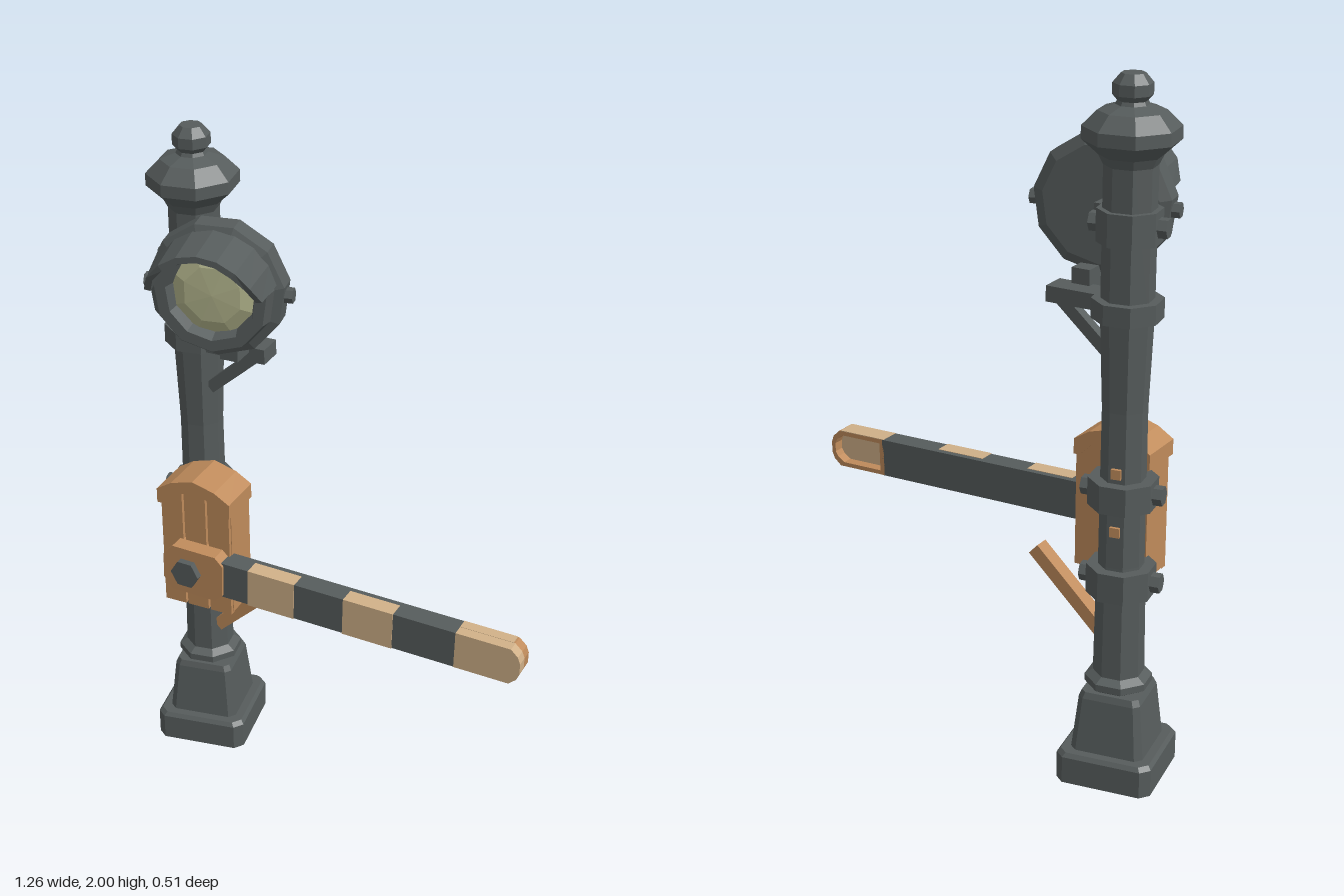
import * as THREE from 'three';

const mat = (name, color, side = THREE.FrontSide) => {
  const m = new THREE.MeshStandardMaterial({ color, side, flatShading: true });
  m.name = name;
  return m;
};

export function createModel() {
  const iron = mat('dark iron', 0x565c5c, THREE.DoubleSide);
  const wood = mat('orange wood', 0xbf8b5b);
  const cream = mat('cream paint', 0xd0b088);
  const glass = mat('pale lens', 0xb0b28a);

  const model = new THREE.Group();
  const add = (parent, name, geo, material, x = 0, y = 0, z = 0) => {
    const mesh = new THREE.Mesh(geo, material);
    mesh.name = name;
    mesh.position.set(x, y, z);
    parent.add(mesh);
    return mesh;
  };
  const group = (name, x, y, z) => {
    const g = new THREE.Group();
    g.name = name;
    g.position.set(x, y, z);
    model.add(g);
    return g;
  };
  const lathe = (pts, sides = 8, start = Math.PI / 8, len = Math.PI * 2) =>
    new THREE.LatheGeometry(pts.map(p => new THREE.Vector2(...p)), sides, start, len);
  const box = (w, h, d) => new THREE.BoxGeometry(w, h, d);
  // extruded outline from z0 to z1, with optional hole
  const plate = (pts, z0, z1, hole) => {
    const v = a => a.map(p => new THREE.Vector2(...p));
    const s = new THREE.Shape(v(pts));
    if (hole) s.holes.push(new THREE.Path(v(hole)));
    return new THREE.ExtrudeGeometry(s, { depth: z1 - z0, bevelEnabled: false }).translate(0, 0, z0);
  };
  // beam between two points in a plane of constant z
  const beam = (name, material, a, b, z, w, d) => {
    const dx = b[0] - a[0], dy = b[1] - a[1];
    add(model, name, box(Math.hypot(dx, dy), w, d), material, (a[0] + b[0]) / 2, (a[1] + b[1]) / 2, z)
      .rotation.z = Math.atan2(dy, dx);
  };

  // --- post ---
  const post = group('post', -0.48, 0, -0.1);
  post.rotation.y = 0.16;

  // plinth: octagonal lathe pushed out to a chamfered square
  const plinth = lathe([[0, 0], [0.139, 0], [0.139, 0.08], [0.13, 0.092], [0.106, 0.092],
    [0.09, 0.25], [0.083, 0.268], [0, 0.268]]);
  const p = plinth.attributes.position;
  for (let i = 0; i < p.count; i++) {
    const x = p.getX(i), z = p.getZ(i), r = Math.hypot(x, z);
    const wide = Math.abs(x) > Math.abs(z);
    p.setX(i, Math.sign(x) * r * (wide ? 1 : 0.82));
    p.setZ(i, Math.sign(z) * r * (wide ? 0.82 : 1));
  }
  add(post, 'plinth', plinth, iron);

  add(post, 'shaft', lathe([[0.07, 0.265], [0.095, 0.28], [0.095, 0.3], [0.072, 0.315], [0.069, 0.56],
    [0.064, 0.65], [0.062, 1.1], [0.072, 1.36], [0.072, 1.8]]), iron);
  add(post, 'cap', lathe([[0.07, 1.76], [0.085, 1.79], [0.13, 1.83], [0.13, 1.865], [0.09, 1.905],
    [0.045, 1.92], [0.04, 1.93], [0.053, 1.945], [0.053, 1.975], [0.032, 2], [0, 2]]), iron);

  // collars with a bolt on each side
  for (const [y, h] of [[0.6, 0.085], [0.86, 0.08], [1.38, 0.055], [1.605, 0.09]]) {
    const r = y > 1.5 ? 0.088 : 0.097;
    add(post, 'collar', lathe([[0.05, -h / 2], [r, -h / 2], [r, h / 2], [0.05, h / 2]]), iron, 0, y, 0);
    if (y === 1.38) continue;
    for (const s of [-1, 1]) {
      add(post, 'collarBolt', new THREE.CylinderGeometry(0.028, 0.028, 0.03, 6).rotateZ(Math.PI / 2),
        iron, s * (r + 0.004), y, 0);
    }
  }
  for (const y of [0.76, 0.93]) add(post, 'rearPeg', box(0.028, 0.028, 0.02), wood, 0, y, -0.058);

  // --- lamp bracket ---
  add(model, 'bracketArm', box(0.23, 0.045, 0.075), iron, -0.35, 1.378, -0.067);
  add(model, 'lampFoot', box(0.055, 0.06, 0.09), iron, -0.31, 1.415, -0.005);
  beam('bracketStrut', iron, [-0.43, 1.225], [-0.27, 1.365], -0.075, 0.035, 0.03);
  add(model, 'lampMount', box(0.1, 0.07, 0.09), iron, -0.41, 1.605, -0.03);

  // --- lamp ---
  const lamp = group('lamp', -0.338, 1.612, 0);
  lamp.rotation.y = 0.18;
  add(lamp, 'lampBody', lathe([[0, 0], [0.165, 0], [0.195, 0.015], [0.195, 0.075], [0.17, 0.085],
    [0.16, 0.128], [0.128, 0.128], [0.116, 0.09]], 11, 0).rotateX(Math.PI / 2), iron);
  add(lamp, 'lens', lathe([[0.126, 0.092], [0.085, 0.11], [0, 0.115]], 8).rotateX(Math.PI / 2), glass);

  // visor: partial shell, cut shorter towards its lower ends
  const visor = lathe([[0.178, 0.07], [0.168, 0.23], [0.15, 0.23], [0.157, 0.07]], 8, Math.PI - 1.36, 2.72)
    .rotateX(Math.PI / 2);
  const v = visor.attributes.position;
  for (let i = 0; i < v.count; i++) {
    if (v.getZ(i) > 0.2) v.setZ(i, 0.165 + 0.07 * Math.min(1, v.getY(i) / 0.1));
  }
  add(lamp, 'visor', visor, iron);
  for (const s of [-1, 1]) {
    add(lamp, 'lampBolt', new THREE.CylinderGeometry(0.022, 0.022, 0.03, 6).rotateZ(Math.PI / 2),
      iron, s * 0.196, -0.005, 0.045);
  }

  // --- mechanism box ---
  const cabinet = group('cabinet', -0.41, 0, 0);
  add(cabinet, 'cabinetBody', plate([[-0.112, 0.57], [0.112, 0.57], [0.112, 0.93], [0.06, 0.965],
    [-0.06, 0.965], [-0.112, 0.93]], -0.035, 0.078), wood);
  for (const i of [-1, 0, 1]) {
    const a = i * 0.076 - 0.034, b = i * 0.076 + 0.034;
    const ya = i < 0 ? 0.915 : 0.955, yb = i > 0 ? 0.915 : 0.955;
    add(cabinet, 'plank', plate([[a, 0.565], [b, 0.565], [b, yb], [a, ya]], 0.07, 0.09), wood);
  }
  add(cabinet, 'cabinetRoof', plate([[-0.118, 0.905], [-0.1, 0.905], [-0.06, 0.945], [0, 0.96],
    [0.06, 0.945], [0.1, 0.905], [0.118, 0.905], [0.118, 0.95], [0.07, 0.98], [0, 1],
    [-0.07, 0.98], [-0.118, 0.95]], -0.04, 0.1), wood);
  beam('woodStrut', wood, [-0.43, 0.4], [-0.2, 0.615], -0.078, 0.04, 0.045);

  // --- signal arm ---
  const arm = group('signalArm', -0.415, 0.715, 0.098);
  arm.rotation.set(0, -0.015, -0.028);
  add(arm, 'hub', plate([[-0.08, -0.04], [-0.05, -0.075], [0.09, -0.075], [0.115, -0.05],
    [0.115, 0.05], [0.09, 0.075], [-0.05, 0.075], [-0.08, 0.04]], -0.03, 0.04), wood);
  add(arm, 'hubBolt', new THREE.CylinderGeometry(0.045, 0.045, 0.03, 6)
    .rotateX(Math.PI / 2).rotateZ(Math.PI / 6), iron, 0, 0, 0.045);
  add(arm, 'armCore', box(0.765, 0.115, 0.065), iron, 0.4675, 0, 0);
  for (const [a, b] of [[0.195, 0.345], [0.5, 0.655]]) {
    add(arm, 'creamStripe', box(b - a, 0.118, 0.05), cream, (a + b) / 2, 0, 0.0095);
  }

  // rounded tip: cream face over a hollow wooden rim
  const tip = (x0, x1, h) => [[x0, -h], [x1 - 0.03, -h], [x1 - 0.008, -h * 0.65], [x1, -h * 0.3],
    [x1, h * 0.3], [x1 - 0.008, h * 0.65], [x1 - 0.03, h], [x0, h]];
  add(arm, 'tipFace', plate(tip(0.845, 1.04, 0.058), 0, 0.0335), cream);
  add(arm, 'tipRim', plate(tip(0.845, 1.04, 0.057), -0.0325, 0, tip(0.86, 1.027, 0.044)), wood);
  add(arm, 'tipTopPaint', box(0.16, 0.004, 0.0325), cream, 0.925, 0.057, -0.016);

  return model;
}
